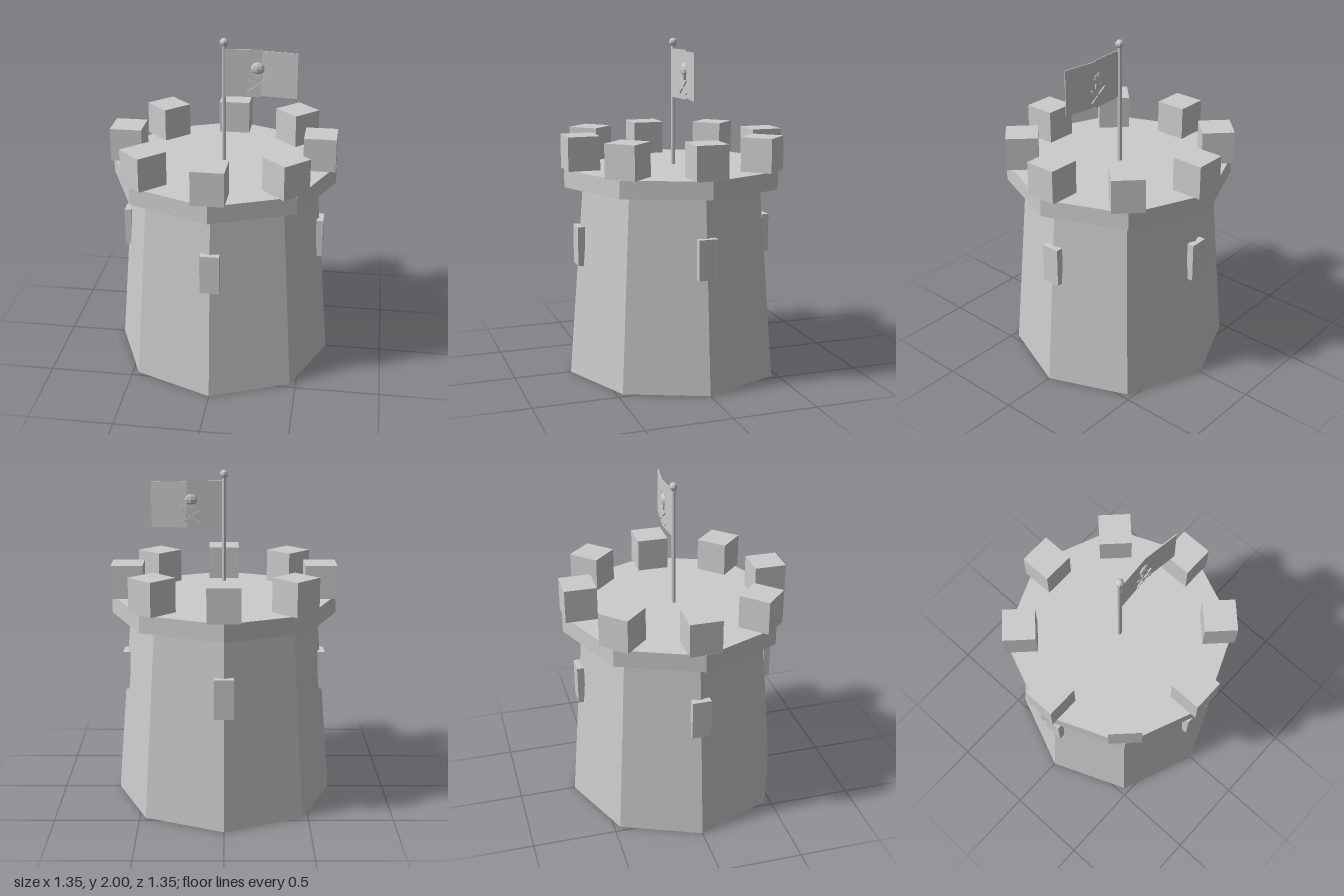
import * as THREE from 'three';

export function createModel() {
  const model = new THREE.Group();
  model.name = 'tower';
  const stone = new THREE.MeshStandardMaterial({ color: 0xcccccc, flatShading: true });
  stone.name = 'light grey';

  const add = (name, geometry, x = 0, y = 0, z = 0, parent = model) => {
    const mesh = new THREE.Mesh(geometry, stone);
    mesh.name = name;
    mesh.position.set(x, y, z);
    parent.add(mesh);
    return mesh;
  };

  // Tapered octagonal body and overhanging platform
  add('towerBody', new THREE.CylinderGeometry(0.565, 0.657, 1.14, 8), 0, 0.57, 0);
  add('platform', new THREE.CylinderGeometry(0.675, 0.675, 0.105, 8), 0, 1.1925, 0);

  // Battlement blocks on all eight corners
  for (let i = 0; i < 8; i++) {
    const a = (i * Math.PI) / 4;
    const block = add('battlement', new THREE.BoxGeometry(0.19, 0.2, 0.19),
      Math.sin(a) * 0.576, 1.345, Math.cos(a) * 0.576);
    block.rotation.y = a;
  }

  // Raised window slabs on the four main corners
  for (let i = 0; i < 4; i++) {
    const a = (i * Math.PI) / 2;
    const slab = add('window', new THREE.BoxGeometry(0.112, 0.235, 0.042),
      Math.sin(a) * 0.591, 0.7875, Math.cos(a) * 0.591);
    slab.rotation.y = a;
  }

  // Flagpole and knob
  add('flagpole', new THREE.CylinderGeometry(0.013, 0.013, 0.73, 8), 0, 1.605, 0);
  add('poleKnob', new THREE.SphereGeometry(0.025, 8, 6), 0, 1.975, 0);

  // Flag: two thin panels bent at the middle
  const panel = (x0, z0, x1, z1, height) => {
    const dx = x1 - x0, dz = z1 - z0;
    const cloth = add('flagPanel', new THREE.BoxGeometry(Math.hypot(dx, dz), height, 0.006),
      (x0 + x1) / 2, 1.795, (z0 + z1) / 2);
    cloth.rotation.y = -Math.atan2(dz, dx);
  };
  panel(0.005, 0.008, 0.22, -0.007, 0.285);
  panel(0.22, -0.007, 0.43, 0.022, 0.27);

  // Skull and crossed bones, standing out on both faces of the flag
  const emblem = new THREE.Group();
  emblem.name = 'flagEmblem';
  emblem.position.set(0.195, 0, -0.002);
  model.add(emblem);
  const cranium = add('cranium', new THREE.SphereGeometry(1, 8, 6), 0, 1.825, 0, emblem);
  cranium.scale.set(0.041, 0.038, 0.02);
  add('jaw', new THREE.BoxGeometry(0.046, 0.03, 0.026), 0, 1.782, 0, emblem);
  for (const side of [-1, 1]) {
    for (const tilt of [-1, 1]) {
      const bone = add('bone', new THREE.BoxGeometry(0.135, 0.01, 0.008),
        0, 1.725, side * 0.009, emblem);
      bone.rotation.z = tilt * 0.61;
    }
  }
  return model;
}
